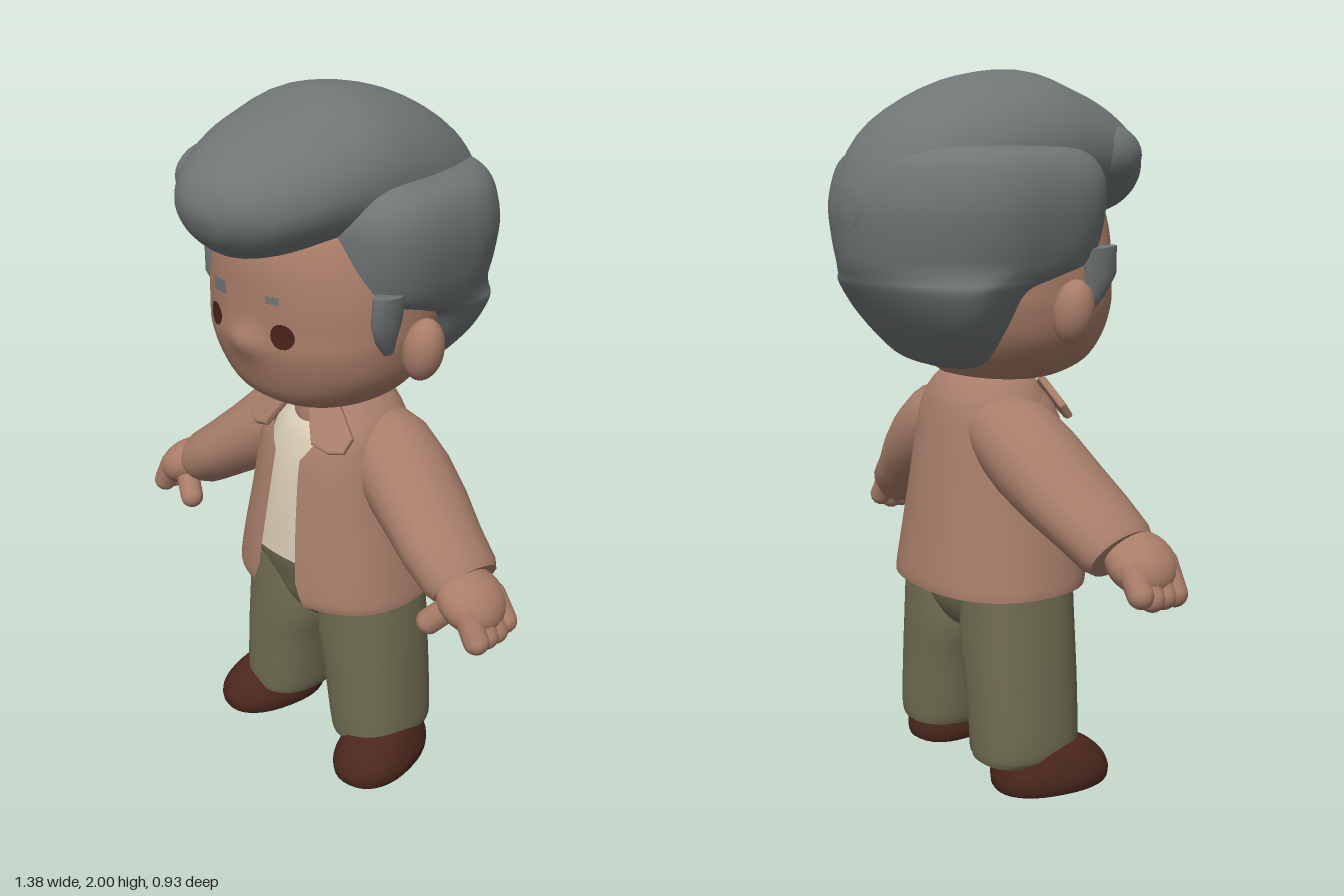
import * as THREE from 'three';
import { toCreasedNormals } from 'three/addons/utils/BufferGeometryUtils.js';

const mat = (name, color, side = THREE.FrontSide) => {
  const m = new THREE.MeshStandardMaterial({ color, side });
  m.name = name;
  return m;
};

// Skin a list of point rows; closed rings get end caps.
function skin(rows, closed = true) {
  const n = rows[0].length, pos = [], idx = [];
  rows.forEach(r => r.forEach(p => pos.push(p.x, p.y, p.z)));
  const cols = closed ? n : n - 1;
  for (let i = 0; i < rows.length - 1; i++) {
    for (let j = 0; j < cols; j++) {
      const k = (j + 1) % n, a = i * n + j, b = a + n, c = i * n + k, d = c + n;
      idx.push(a, b, c, b, d, c);
    }
  }
  if (closed) {
    [0, rows.length - 1].forEach(r => {
      const c = rows[r].reduce((s, p) => s.add(p), new THREE.Vector3()).divideScalar(n);
      const id = pos.length / 3;
      pos.push(c.x, c.y, c.z);
      for (let j = 0; j < n; j++) {
        const a = r * n + j, b = r * n + (j + 1) % n;
        if (r === 0) idx.push(id, a, b); else idx.push(id, b, a);
      }
    });
  }
  const g = new THREE.BufferGeometry();
  g.setAttribute('position', new THREE.Float32BufferAttribute(pos, 3));
  g.setIndex(idx);
  return toCreasedNormals(g, 1.0);
}

// Ring format: [y, halfWidth, zFront, zBack, centreX]
function smoothRings(rings, steps = 4) {
  const out = [], at = i => rings[Math.max(0, Math.min(rings.length - 1, i))];
  for (let i = 0; i < rings.length - 1; i++) {
    for (let s = 0; s < steps; s++) {
      const t = s / steps;
      out.push([0, 1, 2, 3, 4].map(k => {
        const [a, b, c, d] = [-1, 0, 1, 2].map(o => at(i + o)[k] ?? 0);
        return 0.5 * (2 * b + (c - a) * t + (2 * a - 5 * b + 4 * c - d) * t * t + (3 * b - a - 3 * c + d) * t ** 3);
      }));
    }
  }
  out.push(rings[rings.length - 1]);
  return out;
}
const pw = (v, e) => Math.sign(v) * Math.abs(v) ** e;
function ringPoint([y, hw, zf, zb, cx = 0], a, n, inset = 0) {
  return new THREE.Vector3(cx + (hw - inset) * pw(Math.cos(a), 2 / n), y,
    (zf + zb) / 2 + ((zf - zb) / 2 - inset) * pw(Math.sin(a), 2 / n));
}
// Rows of points; front and back halves may have different squareness.
const loftRows = (rings, nBack, seg, nFront = nBack) => smoothRings(rings).map(r =>
  Array.from({ length: seg }, (_, j) => ringPoint(r, j / seg * Math.PI * 2, j < seg / 2 ? nFront : nBack)));
const loft = (rings, nBack = 2, seg = 36, nFront = nBack) => skin(loftRows(rings, nBack, seg, nFront));

// Open-fronted cloth shell; sixth ring value is the opening half-angle.
function shell(rings, n, thick, seg = 48) {
  const row = (r, inset) => Array.from({ length: seg + 1 }, (_, j) => {
    const u = j / seg, a = Math.PI / 2 + r[5] + u * 2 * (Math.PI - r[5]);
    return ringPoint(r, a, n, inset * Math.min(1, 8 * u, 8 * (1 - u)));
  });
  const outer = rings.map(r => row(r, 0)), inner = rings.map(r => row(r, thick)).reverse();
  return skin([...outer, ...inner, outer[0]], false);
}
// Oval tube along points [x, y, z, radius, radiusZ]
function limb(pts, seg = 20) {
  const v = pts.map(p => new THREE.Vector3(p[0], p[1], p[2]));
  const zAxis = new THREE.Vector3(0, 0, 1);
  return skin(pts.map((p, i) => {
    const d = v[Math.min(i + 1, v.length - 1)].clone().sub(v[Math.max(i - 1, 0)]).normalize();
    const e1 = d.clone().cross(zAxis).normalize(), e2 = e1.clone().cross(d).normalize();
    return Array.from({ length: seg }, (_, j) => {
      const a = j / seg * Math.PI * 2;
      return v[i].clone().addScaledVector(e1, p[3] * Math.cos(a)).addScaledVector(e2, p[4] * Math.sin(a));
    });
  }));
}

const HEAD = [[1.15, 0.07, 0.12, -0.08], [1.165, 0.15, 0.19, -0.13], [1.21, 0.232, 0.26, -0.18], [1.28, 0.292, 0.295, -0.22],
  [1.36, 0.317, 0.318, -0.25], [1.42, 0.322, 0.318, -0.26], [1.5, 0.318, 0.32, -0.27],
  [1.6, 0.29, 0.315, -0.26], [1.69, 0.24, 0.28, -0.2], [1.75, 0.13, 0.18, -0.1]];
const HEAD_N = 2.15;

// Depth of the face surface at a given x, y
function faceZ(x, y) {
  const rows = smoothRings(HEAD), i = rows.findIndex(r => r[0] >= y);
  const a = rows[i - 1], b = rows[i], t = (y - a[0]) / (b[0] - a[0]);
  const [hw, zf, zb] = [1, 2, 3].map(k => a[k] + (b[k] - a[k]) * t);
  const c = (Math.abs(x) / hw) ** (HEAD_N / 2);
  return (zf + zb) / 2 + (zf - zb) / 2 * (1 - c * c) ** (1 / HEAD_N);
}
function facePatch(geo, x, y) {
  geo.translate(x, y, 0);
  const p = geo.attributes.position;
  for (let i = 0; i < p.count; i++) p.setZ(i, faceZ(p.getX(i), p.getY(i)) + 0.005);
  geo.computeVertexNormals();
  return geo;
}

export function createModel() {
  const model = new THREE.Group();
  model.name = 'figure';
  const M = {
    skin: mat('skin', 0xaa7e69), hair: mat('hair grey', 0x707576, THREE.DoubleSide),
    jacket: mat('jacket tan', 0xa87e6a, THREE.DoubleSide), shirt: mat('shirt cream', 0xd8ccb4),
    trousers: mat('trousers olive', 0x706c51), shoe: mat('shoe brown', 0x4a271d), eye: mat('eye brown', 0x482319),
  };
  const add = (name, geo, m) => {
    const mesh = new THREE.Mesh(geo, m);
    mesh.name = name;
    model.add(mesh);
    return mesh;
  };
  const ball = (name, m, p, s) => {
    const b = add(name, new THREE.SphereGeometry(1, 24, 16), m);
    b.position.set(...p);
    b.scale.set(...s);
    return b;
  };

  // Head with a soft nose bump, and face
  const headRows = loftRows(HEAD, HEAD_N, 72);
  headRows.flat().filter(p => p.z > 0).forEach(p => {
    p.z += 0.022 * Math.exp(-((p.x / 0.055) ** 2) - ((p.y - 1.375) / 0.045) ** 2);
  });
  add('head', skin(headRows), M.skin);
  add('neck', loft([[1.0, 0.1, 0.1, -0.1], [1.1, 0.095, 0.115, -0.1], [1.2, 0.09, 0.09, -0.1]]), M.skin);
  add('rightEye', facePatch(new THREE.CircleGeometry(0.032, 20), -0.13, 1.415), M.eye);
  add('leftEye', facePatch(new THREE.CircleGeometry(0.034, 20), 0.127, 1.415), M.eye);
  add('rightBrow', facePatch(new THREE.PlaneGeometry(0.065, 0.035, 4, 2), -0.1, 1.503), M.hair);
  add('leftBrow', facePatch(new THREE.PlaneGeometry(0.04, 0.02, 4, 2), 0.1, 1.508), M.hair);

  // Hair: back and sides, then the swept-forward top
  add('backHair', loft([[1.2, 0.1, -0.12, -0.2], [1.23, 0.19, -0.11, -0.27], [1.33, 0.285, -0.09, -0.36],
    [1.42, 0.333, -0.05, -0.42], [1.455, 0.345, 0.06, -0.435], [1.49, 0.358, 0.165, -0.447], [1.55, 0.376, 0.19, -0.457],
    [1.63, 0.39, 0.2, -0.463], [1.7, 0.388, 0.2, -0.45], [1.755, 0.368, 0.175, -0.425], [1.785, 0.33, 0.13, -0.38],
    [1.793, 0.26, 0.06, -0.33]], 1.9, 64, 3.6), M.hair);
  const topHair = [[-0.46, 1.68, 1.58, 0.06], [-0.42, 1.775, 1.52, 0.15], [-0.33, 1.88, 1.5, 0.23], [-0.15, 1.97, 1.52, 0.28],
    [0.04, 2.0, 1.56, 0.292], [0.18, 1.963, 1.59, 0.273], [0.28, 1.925, 1.6, 0.24], [0.37, 1.875, 1.615, 0.185],
    [0.435, 1.82, 1.665, 0.11], [0.462, 1.765, 1.72, 0.035]];
  add('topHair', loft(topHair.map(([z, top, bottom, hw]) => [z, hw, -bottom, -top, -0.005]), 2.05, 48, 1.9)
    .rotateX(Math.PI / 2), M.hair);
  ball('hairCurl', M.hair, [-0.185, 1.77, 0.23], [0.09, 0.09, 0.13]);

  // Torso
  add('shirt', loft([[0.67, 0.26, 0.195, -0.18], [0.8, 0.22, 0.185, -0.17], [0.95, 0.19, 0.165, -0.16],
    [1.05, 0.16, 0.135, -0.14], [1.1, 0.12, 0.1, -0.11]], 2.4), M.shirt);
  add('jacket', shell(smoothRings([[0.57, 0.298, 0.235, -0.25], [0.6, 0.295, 0.24, -0.25], [0.7, 0.275, 0.232, -0.238],
    [0.85, 0.243, 0.212, -0.22], [1.0, 0.22, 0.187, -0.2], [1.08, 0.2, 0.155, -0.185], [1.14, 0.155, 0.11, -0.165],
    [1.185, 0.11, 0.07, -0.13]]).map(r => {
    const y = r[0], o = y < 0.64 ? 0.21 + (0.64 - y) * 1.2 : y < 1 ? 0.21 - (y - 0.64) * 0.12 : 0.17 + (y - 1) * 3.2;
    return [...r.slice(0, 4), 0.01, o];
  }), 2.35, 0.03), M.jacket);
  add('collar', shell([[1.09, 0.19, 0.15, -0.19, 0, 0.75], [1.12, 0.175, 0.13, -0.183, 0, 0.75],
    [1.18, 0.125, 0.1, -0.14, 0, 0.8]], 2, 0.02), M.jacket);

  // Hips, blending into the legs
  add('hips', loft([[0.41, 0.04, 0.03, -0.07], [0.44, 0.11, 0.085, -0.125], [0.49, 0.19, 0.12, -0.16],
    [0.55, 0.265, 0.138, -0.178], [0.62, 0.28, 0.158, -0.188], [0.69, 0.25, 0.17, -0.18]], 2.5), M.trousers);

  // Mirrored parts
  for (const [s, side] of [[1, 'left'], [-1, 'right']]) {
    const ear = ball(side + 'Ear', M.skin, [s * 0.35, 1.365, 0.015], [0.055, 0.088, 0.055]);
    ear.rotation.z = -s * 0.2;
    add(side + 'Sideburn', limb([[s * 0.325, 1.53, 0.12, 0.025, 0.055], [s * 0.322, 1.46, 0.125, 0.025, 0.052],
      [s * 0.313, 1.41, 0.115, 0.02, 0.035], [s * 0.305, 1.37, 0.1, 0.014, 0.018]]), M.hair);

    const flap = new THREE.Shape([[-0.07, 0.04], [0.0, 0.075], [0.07, 0.01], [0.065, -0.03], [0.03, -0.045], [-0.02, -0.04]]
      .map(([x, y]) => new THREE.Vector2(s * x, y)));
    const lapel = add(side + 'Lapel', new THREE.ExtrudeGeometry(flap,
      { depth: 0.01, bevelSize: 0.008, bevelThickness: 0.006, bevelSegments: 2 }), M.jacket);
    lapel.position.set(s * 0.115, 1.087, 0.132);
    lapel.rotation.set(-0.65, s * 0.35, 0);

    // Sleeve and cuff edge
    add(side + 'Sleeve', limb([[0.06, 1.05, -0.05, 0.07, 0.09], [0.12, 1.032, -0.05, 0.1, 0.117], [0.18, 1.005, -0.045, 0.12, 0.13],
      [0.26, 0.95, -0.032, 0.122, 0.138], [0.35, 0.885, -0.012, 0.107, 0.138], [0.44, 0.82, 0.015, 0.095, 0.13],
      [0.52, 0.765, 0.03, 0.087, 0.12], [0.54, 0.752, 0.033, 0.078, 0.108]].map(([x, ...r]) => [s * x, ...r])), M.jacket);

    // Hand: plump palm, four close fingers and a thumb
    const hand = new THREE.Group();
    hand.name = side + 'Hand';
    const part = (name, geo) => {
      const m = new THREE.Mesh(geo, M.skin);
      m.name = name;
      hand.add(m);
    };
    const palm = new THREE.SphereGeometry(1, 24, 16).scale(0.1, 0.07, 0.1).rotateZ(-s * 0.6);
    part('palm', palm.translate(s * 0.585, 0.735, 0.06));
    const finger = (name, a, b, r) => {
      const A = new THREE.Vector3(...a), B = new THREE.Vector3(...b), d = B.clone().sub(A);
      const q = new THREE.Quaternion().setFromUnitVectors(new THREE.Vector3(0, 1, 0), d.clone().normalize());
      const c = A.add(B).multiplyScalar(0.5);
      part(name, new THREE.CapsuleGeometry(r, d.length(), 6, 12).applyQuaternion(q).translate(c.x, c.y, c.z));
    };
    for (let i = 0; i < 4; i++) {
      const z = 0.002 + i * 0.038, drop = i === 0 ? 0.015 : 0;
      finger('finger', [s * 0.612, 0.735, z], [s * 0.653, 0.66 + drop, z], 0.036);
    }
    finger('thumb', [s * 0.56, 0.725, 0.1], [s * 0.502, 0.66, 0.13], 0.036);
    model.add(hand);

    // Trouser leg and shoe
    const leg = [[0.09, 0.118, 0.13, -0.172, s * 0.188], [0.13, 0.13, 0.135, -0.177, s * 0.188],
      [0.3, 0.138, 0.14, -0.18, s * 0.17], [0.42, 0.147, 0.142, -0.182, s * 0.152], [0.6, 0.13, 0.14, -0.18, s * 0.15]];
    add(side + 'TrouserLeg', loft(leg, 2.4), M.trousers);
    const shoe = add(side + 'Shoe', loft([[0.0, 0.098, 0.17, -0.145], [0.012, 0.112, 0.185, -0.16], [0.05, 0.116, 0.185, -0.163],
      [0.09, 0.102, 0.16, -0.155], [0.125, 0.085, 0.11, -0.14], [0.15, 0.065, 0.04, -0.12]], 2.3), M.shoe);
    shoe.position.set(s * 0.238, 0, 0.02);
    shoe.rotation.y = s * 0.2;

    // Small grey patch on the inner back of one trouser leg
    if (s < 0) {
      const rows = smoothRings(leg).filter(r => r[0] < 0.23).map(r =>
        Array.from({ length: 9 }, (_, j) => ringPoint(r, -0.6 + (j / 8 - 0.5) * (0.24 - r[0]) * 5, 2.4, -0.004)));
      add('legPatch', skin(rows, false), M.hair);
    }
  }
  return model;
}
